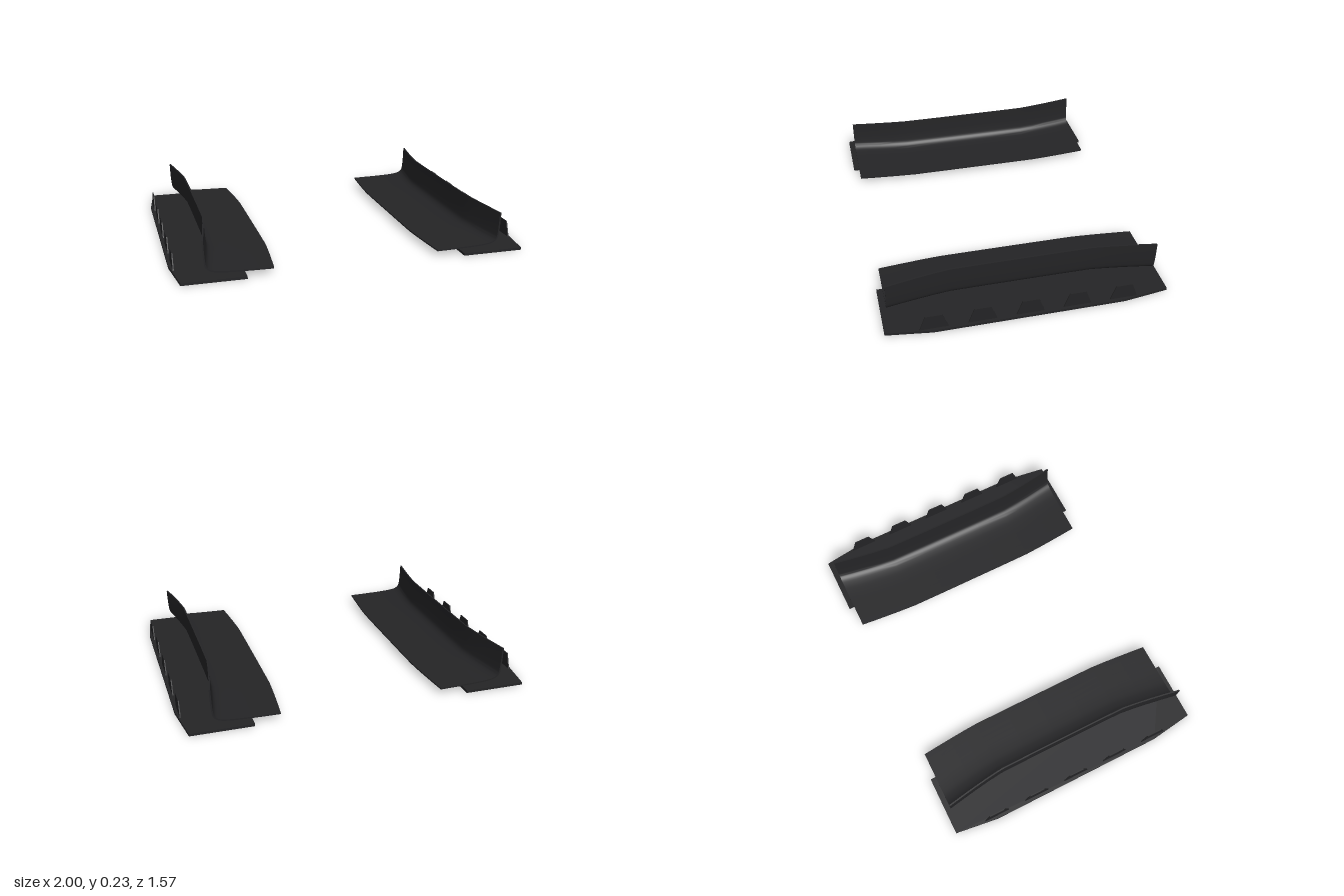
import * as THREE from 'three';
import { toCreasedNormals } from 'three/addons/utils/BufferGeometryUtils.js';

const material = new THREE.MeshStandardMaterial({ color: 0x242426 });

function part(name, geometry) {
  const mesh = new THREE.Mesh(geometry, material);
  mesh.name = name;
  return mesh;
}

// Flat plate with a tapered outer edge
function basePlate() {
  const shape = new THREE.Shape([
    [0.615, -0.787], [0.965, -0.787], [1, -0.53], [1, 0.53], [0.965, 0.787], [0.615, 0.787],
  ].map(([x, z]) => new THREE.Vector2(x, z)));
  const geometry = new THREE.ExtrudeGeometry(shape, { depth: 0.014, bevelEnabled: false });
  return geometry.rotateX(-Math.PI / 2);
}

// Upright trapezoid tab, thin in x
function tab() {
  const shape = new THREE.Shape([
    [-0.079, 0.01], [0.079, 0.01], [0.046, 0.1], [-0.046, 0.1],
  ].map(([z, y]) => new THREE.Vector2(z, y)));
  const geometry = new THREE.ExtrudeGeometry(shape, { depth: 0.006, bevelEnabled: false });
  return geometry.rotateY(Math.PI / 2).translate(0.977, 0, 0);
}

// Thin L-shaped section swept along z, flaring outward toward both ends
function curvedPanel() {
  const middle = new THREE.CatmullRomCurve3([
    [0.436, 0.034], [0.55, 0.036], [0.65, 0.039], [0.71, 0.044], [0.75, 0.054],
    [0.772, 0.074], [0.779, 0.11], [0.783, 0.17], [0.785, 0.232],
  ].map(([x, y]) => new THREE.Vector3(x, y, 0)));
  const steps = 28;
  const half = 0.004;
  const under = [];
  const over = [];
  for (let i = 0; i <= steps; i++) {
    const p = middle.getPoint(i / steps);
    const t = middle.getTangent(i / steps);
    under.push([p.x + t.y * half, p.y - t.x * half]);
    over.unshift([p.x - t.y * half, p.y + t.x * half]);
  }
  const loop = [...under, ...over];
  const n = loop.length;
  const stations = [-0.755, -0.67, -0.58, -0.49, -0.4, -0.2, 0, 0.2, 0.4, 0.49, 0.58, 0.67, 0.755];
  const positions = [];
  const index = [];

  for (const z of stations) {
    const e = Math.max(0, (Math.abs(z) - 0.38) / 0.375) ** 1.25;
    const rise = z > 0 ? -0.009 * e : 0.002 * e;
    for (const [x, y] of loop) {
      const flare = 0.03 + 0.025 * (x - 0.436) / 0.35;
      positions.push(x + flare * e, y + rise * (y / 0.232) ** 2, z);
    }
  }
  for (let i = 0; i < stations.length - 1; i++) {
    for (let j = 0; j < n; j++) {
      const a = i * n + j;
      const b = i * n + (j + 1) % n;
      index.push(a, b, b + n, a, b + n, a + n);
    }
  }
  // End caps
  const last = (stations.length - 1) * n;
  for (let k = 0; k < steps; k++) {
    const [a, b, c, d] = [k, k + 1, n - 2 - k, n - 1 - k];
    index.push(last + a, last + b, last + c, last + a, last + c, last + d);
    index.push(a, c, b, a, d, c);
  }
  const geometry = new THREE.BufferGeometry();
  geometry.setAttribute('position', new THREE.Float32BufferAttribute(positions, 3));
  geometry.setIndex(index);
  return toCreasedNormals(geometry, 0.6);
}

export function createModel() {
  const model = new THREE.Group();
  model.name = 'sidePanels';
  for (const side of [1, -1]) {
    const half = new THREE.Group();
    half.name = side > 0 ? 'leftSide' : 'rightSide';
    half.add(part('basePlate', basePlate()), part('curvedPanel', curvedPanel()));
    for (let i = -2; i <= 2; i++) {
      const mesh = part('tab', tab());
      mesh.position.z = i * 0.263;
      half.add(mesh);
    }
    half.scale.x = side;
    model.add(half);
  }
  return model;
}
